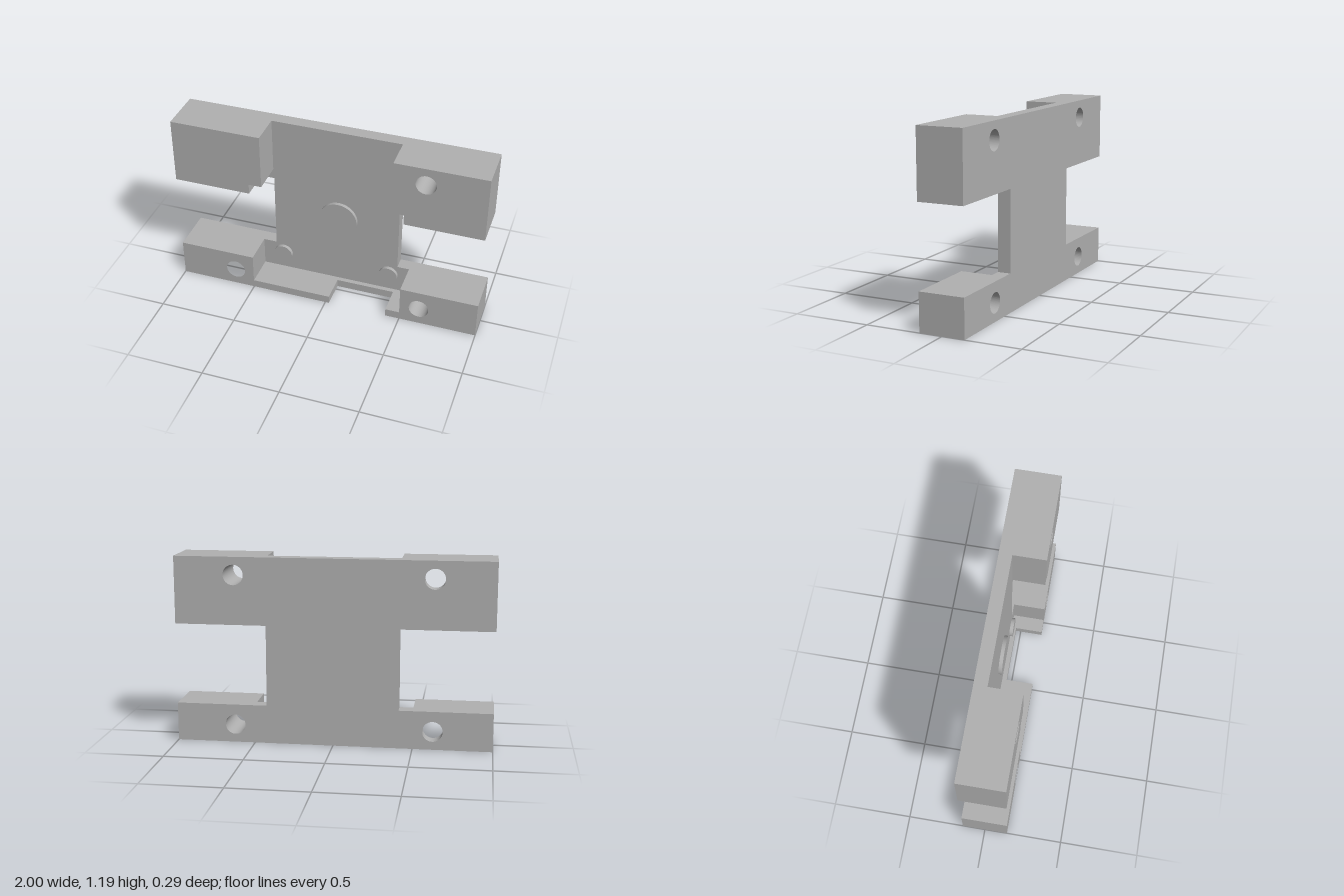
import * as THREE from 'three';

const BACK = -0.146, FLOOR = -0.063, FRONT = 0.146;
const HOLE_X = 0.625, HOLE_R = 0.064, TOP_HOLE_Y = 1.075, LOW_HOLE_Y = 0.116;

export function createModel() {
  const group = new THREE.Group();
  group.name = 'mountingBracket';
  const grey = new THREE.MeshStandardMaterial({ color: 0xb0b0b0 });
  grey.name = 'plain grey';

  // Extrudes an outline with screw holes between two depths
  function slab(name, points, holes, z0, z1) {
    const shape = new THREE.Shape(points.map(([x, y]) => new THREE.Vector2(x, y)));
    for (const [x, y] of holes) {
      shape.holes.push(new THREE.Path().absarc(x, y, HOLE_R, 0, Math.PI * 2, true));
    }
    const geometry = new THREE.ExtrudeGeometry(shape, { depth: z1 - z0, bevelEnabled: false, curveSegments: 48 });
    geometry.translate(0, 0, z0);
    const mesh = new THREE.Mesh(geometry, grey);
    mesh.name = name;
    group.add(mesh);
  }

  // H-shaped back plate
  slab('backPlate', [
    [-1, 0], [1, 0], [1, 0.245], [0.422, 0.245], [0.422, 0.76], [1, 0.76],
    [1, 1.188], [-1, 1.188], [-1, 0.76], [-0.412, 0.76], [-0.412, 0.245], [-1, 0.245],
  ], [-HOLE_X, HOLE_X].flatMap((x) => [[x, TOP_HOLE_Y], [x, LOW_HOLE_Y]]), BACK, FLOOR);

  // Upper blocks, notched at the inner lower corner
  for (const [name, s, inner] of [['upperLeftBlock', 1, 0.422], ['upperRightBlock', -1, 0.416]]) {
    slab(name, [
      [s, 0.76], [s, 1.188], [s * inner, 1.188], [s * inner, 0.828], [s * 0.5, 0.828], [s * 0.5, 0.76],
    ], [[s * HOLE_X, TOP_HOLE_Y]], FLOOR, FRONT);
  }

  // Lower blocks, each with a thin ledge reaching inward
  for (const [name, s, ledgeEnd] of [['lowerLeftBlock', 1, 0.408], ['lowerRightBlock', -1, 0.025]]) {
    slab(name, [
      [s, 0], [s, 0.245], [s * 0.5, 0.245], [s * 0.5, 0.052], [ledgeEnd, 0.052], [ledgeEnd, 0],
    ], [[s * HOLE_X, LOW_HOLE_Y]], FLOOR, FRONT);
  }

  // Shallow lip at the back of the ledge gap
  slab('gapLip', [[0.025, 0], [0.408, 0], [0.408, 0.052], [0.025, 0.052]], [], FLOOR, -0.033);

  // Raised round pads
  for (const [name, x, y, r] of [
    ['centrePad', 0.023, 0.539, 0.125], ['rightPad', -0.36, 0.17, 0.062], ['leftPad', 0.365, 0.17, 0.062],
  ]) {
    const height = 0.023;
    const pad = new THREE.Mesh(new THREE.CylinderGeometry(r, r, height, 64), grey);
    pad.name = name;
    pad.rotation.x = Math.PI / 2;
    pad.position.set(x, y, FLOOR + height / 2);
    group.add(pad);
  }
  return group;
}
